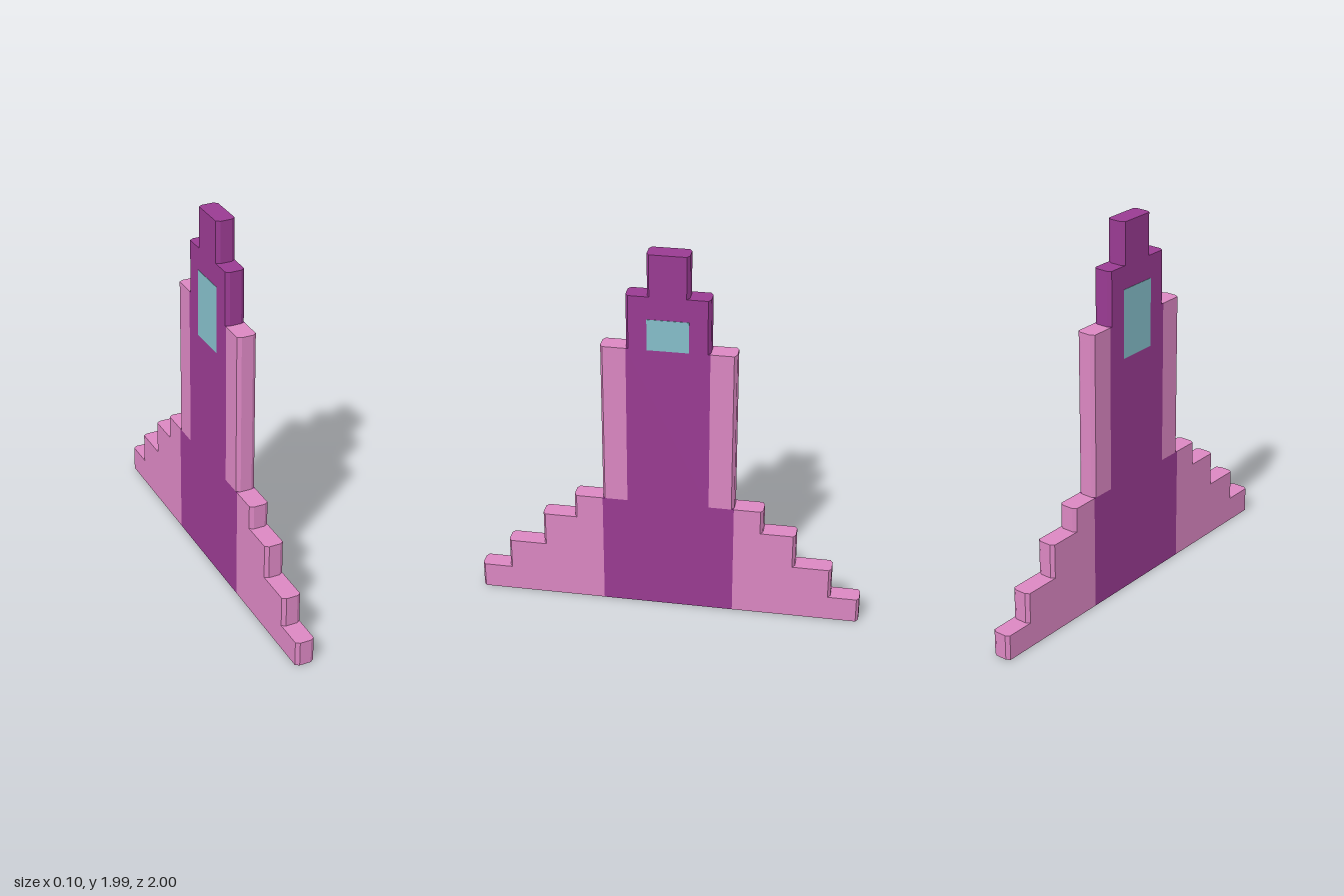
import * as THREE from 'three';

const HALF = 0.05;             // half thickness of the slab
const CX = 0.02, CZ = 0.013;   // chamfer of the vertical end edges

const paint = (color) => new THREE.MeshStandardMaterial({ color, flatShading: true });

// Upright prism spanning z0..z1 and y0..y1; each end may have chamfered vertical edges
function prism(name, z0, z1, y0, y1, material, cut0 = false, cut1 = false) {
  const end = (z, cut, s) => cut
    ? [[s * HALF, z - Math.sign(z) * CZ], [s * (HALF - CX), z]]
    : [[s * HALF, z]];
  const outline = [
    ...end(z0, cut0, -1), ...end(z0, cut0, 1).reverse(),
    ...end(z1, cut1, 1), ...end(z1, cut1, -1).reverse(),
  ];
  const shape = new THREE.Shape(outline.map(([x, z]) => new THREE.Vector2(x, -z)));
  const geometry = new THREE.ExtrudeGeometry(shape, { depth: y1 - y0, bevelEnabled: false });
  geometry.rotateX(-Math.PI / 2).translate(0, y0, 0);
  const mesh = new THREE.Mesh(geometry, material);
  mesh.name = name;
  return mesh;
}

export function createModel() {
  const group = new THREE.Group();
  group.name = 'steppedTower';
  const pink = paint(0xdb87c2), purple = paint(0x9a3b92), teal = paint(0x85beca);

  // Layers from the ground up: bottom, top, half length, half length of the dark core
  const layers = [
    [0, 0.135, 1.0, 0.34],
    [0.135, 0.3, 0.85, 0.34],
    [0.3, 0.485, 0.66, 0.34],
    [0.485, 0.615, 0.49, 0.34],
    [0.615, 1.485, 0.34, 0.21],
    [1.485, 1.77, 0.21, 0.21],
    [1.77, 1.99, 0.105, 0.105],
  ];
  layers.forEach(([y0, y1, outer, core], i) => {
    const bare = outer === core;
    group.add(prism(`core${i + 1}`, -core, core, y0, y1, purple, bare, bare));
    if (bare) return;
    // Light wings in front of and behind the core
    group.add(prism(`frontStep${i + 1}`, core, outer, y0, y1, pink, false, true));
    group.add(prism(`backStep${i + 1}`, -outer, -core, y0, y1, pink, true, false));
  });

  // Windows: a tall one on the right side, a short one on the left
  for (const [name, side, bottom] of [['rightWindow', -1, 1.29], ['leftWindow', 1, 1.485]]) {
    const top = 1.65;
    const pane = new THREE.Mesh(new THREE.BoxGeometry(0.004, top - bottom, 0.21), teal);
    pane.position.set(side * HALF, (top + bottom) / 2, 0);
    pane.name = name;
    group.add(pane);
  }
  return group;
}
